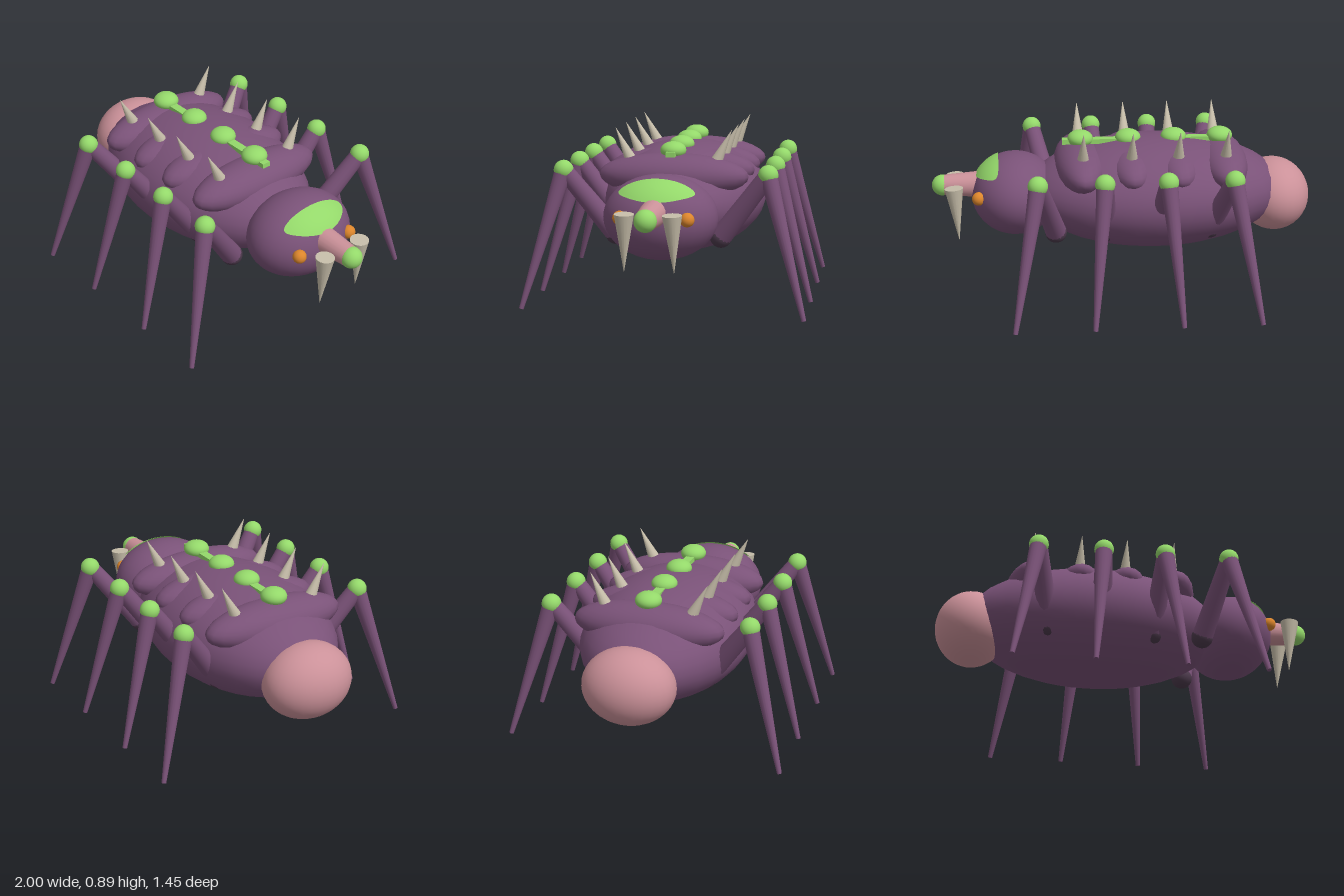
import * as THREE from 'three';

const mat = (name, color) => Object.assign(new THREE.MeshStandardMaterial({ color }), { name });

export function createModel() {
  const model = new THREE.Group();
  model.name = 'beetleCreature';
  const purple = mat('purple shell', 0x7a5278);
  const dark = mat('dark joint', 0x4c3a4c);
  const green = mat('green', 0x94d86a);
  const pink = mat('pink', 0xcb9199);
  const bone = mat('bone', 0xc6bda9);
  const orange = mat('orange', 0xdc862c);

  function add(name, geometry, material, parent = model) {
    const mesh = new THREE.Mesh(geometry, material);
    mesh.name = name;
    parent.add(mesh);
    return mesh;
  }

  // Ellipsoid with centre and three radii
  function blob(name, material, pos, radii, parent, w = 24, h = 16) {
    const mesh = add(name, new THREE.SphereGeometry(1, w, h), material, parent);
    mesh.position.set(...pos);
    mesh.scale.set(...radii);
    return mesh;
  }

  // Tapered rod from point a (radius ra) to point b (radius rb)
  function rod(name, material, a, b, ra, rb, parent, sides = 16) {
    const from = new THREE.Vector3(...a), to = new THREE.Vector3(...b);
    const dir = to.clone().sub(from);
    const mesh = add(name, new THREE.CylinderGeometry(rb, ra, dir.length(), sides), material, parent);
    mesh.position.copy(from).add(to).multiplyScalar(0.5);
    mesh.quaternion.setFromUnitVectors(new THREE.Vector3(0, 1, 0), dir.normalize());
    return mesh;
  }

  // Main masses
  const head = { pos: [0.565, 0.495, 0], radii: [0.23, 0.212, 0.285] };
  blob('body', purple, [-0.17, 0.495, 0], [0.68, 0.288, 0.432], model, 32, 20);
  blob('tail', pink, [-0.81, 0.448, 0], [0.19, 0.192, 0.235], model, 32, 20);
  blob('head', purple, head.pos, head.radii, model, 32, 20);

  // Back segments, each with a green knob and a pair of spikes
  for (const x of [-0.515, -0.27, -0.03, 0.22]) {
    blob('backSegment', purple, [x, 0.65, 0], [0.14, 0.115, 0.39]);
    blob('backKnob', green, [x, 0.78, 0], [0.067, 0.045, 0.067]);
    for (const s of [1, -1]) {
      rod('backSpike', bone, [x, 0.73, s * 0.225], [x, 0.89, s * 0.302], 0.031, 0.0005, model, 12);
    }
  }
  add('backRidge', new THREE.BoxGeometry(0.82, 0.025, 0.046), green).position.set(-0.095, 0.7665, 0);

  // Green brow patch, a disc bent over the head
  const brow = new THREE.RingGeometry(0.001, 1, 40, 8);
  const p = brow.attributes.position;
  for (let i = 0; i < p.count; i++) {
    const zn = -p.getX(i) * 0.65, c = Math.sqrt(1 - zn * zn);
    const a = THREE.MathUtils.degToRad(49 + 20 * p.getY(i) + 14 * zn * zn);
    const n = [Math.cos(a) * c, Math.sin(a) * c, zn];
    p.setXYZ(i, ...n.map((v, k) => head.pos[k] + v * (head.radii[k] + 0.006)));
  }
  brow.computeVertexNormals();
  const browMat = green;
  browMat.side = THREE.DoubleSide;
  add('browPatch', brow, browMat);

  // Snout
  rod('snout', pink, [0.7, 0.545, 0], [0.945, 0.545, 0], 0.073, 0.053, model, 20);
  blob('snoutTip', green, [0.945, 0.545, 0], [0.055, 0.055, 0.055]);

  for (const s of [1, -1]) {
    blob('eye', orange, [0.755, 0.52, s * 0.165], [0.035, 0.035, 0.035]);
    rod('fang', bone, [0.882, 0.563, s * 0.115], [0.864, 0.282, s * 0.121], 0.048, 0.001);

    // Legs: hip x, knee x, foot x
    for (const [hip, knee, foot] of [
      [-0.43, -0.515, -0.643], [-0.16, -0.185, -0.247], [0.105, 0.13, 0.195], [0.365, 0.46, 0.59],
    ]) {
      const leg = new THREE.Group();
      leg.name = 'leg';
      model.add(leg);
      const h = [hip, 0.365, s * 0.27], k = [knee, 0.7, s * 0.517], f = [foot, 0.004, s * 0.714];
      blob('hipJoint', dark, h, [0.056, 0.056, 0.056], leg);
      rod('upperLeg', purple, h, k, 0.055, 0.043, leg);
      rod('lowerLeg', purple, k, f, 0.045, 0.012, leg);
      blob('knee', green, k, [0.05, 0.05, 0.05], leg);
    }
  }
  return model;
}
